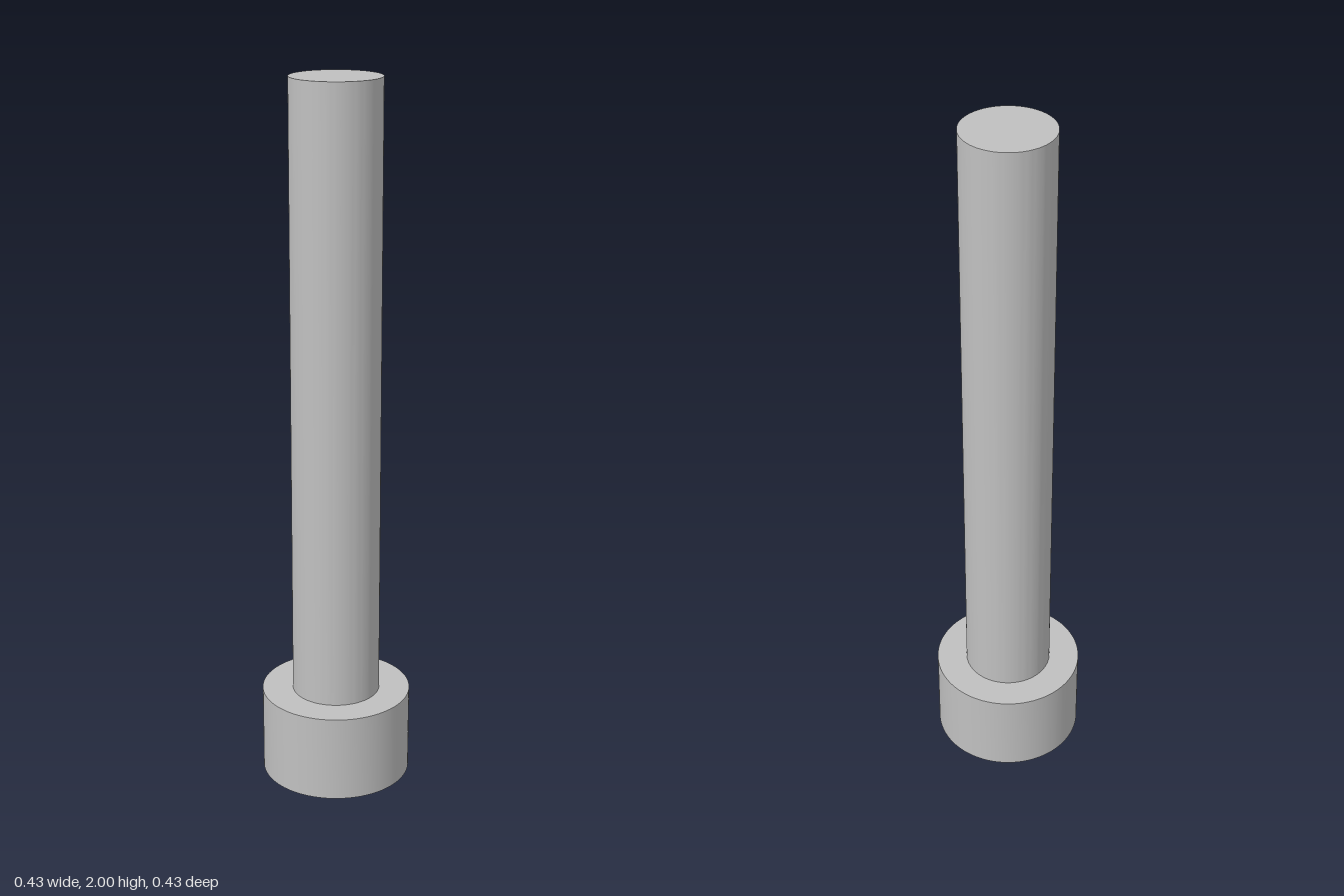
import * as THREE from 'three';
import { toCreasedNormals } from 'three/addons/utils/BufferGeometryUtils.js';

const HEAD_R = 0.2125, HEAD_H = 0.25, SHAFT_R = 0.125, LENGTH = 2;
const SOCKET_R = 0.2 / Math.sqrt(3), SOCKET_DEPTH = 0.125;
const SIDES = 96;

export function createModel() {
  const steel = new THREE.MeshStandardMaterial({ color: 0xc0c0c0 });
  steel.name = 'steel';
  const group = new THREE.Group();
  group.name = 'socketHeadBolt';

  const add = (name, geometry) => {
    const mesh = new THREE.Mesh(geometry, steel);
    mesh.name = name;
    group.add(mesh);
  };
  const lathe = (points) => toCreasedNormals(
    new THREE.LatheGeometry(points.map(([r, y]) => new THREE.Vector2(r, y)), SIDES), Math.PI / 6);

  // Shaft with its flat end
  add('shaft', lathe([[SHAFT_R, HEAD_H], [SHAFT_R, LENGTH], [0, LENGTH]]));

  // Head: outer wall and shoulder
  add('head', lathe([[HEAD_R, 0], [HEAD_R, HEAD_H], [SHAFT_R, HEAD_H]]));

  // Underside of the head, with a hexagonal opening
  const hexagon = Array.from({ length: 6 }, (_, i) => {
    const a = i * Math.PI / 3;
    return new THREE.Vector2(SOCKET_R * Math.cos(a), SOCKET_R * Math.sin(a));
  });
  const face = new THREE.Shape().absarc(0, 0, HEAD_R, 0, Math.PI * 2);
  face.holes.push(new THREE.Path(hexagon));
  add('headFace', new THREE.ShapeGeometry(face, SIDES / 2).rotateX(Math.PI / 2));

  // Socket walls: a six-sided tube mirrored so that it faces inward
  const walls = new THREE.CylinderGeometry(SOCKET_R, SOCKET_R, SOCKET_DEPTH, 6, 1, true)
    .rotateY(Math.PI / 6)
    .translate(0, SOCKET_DEPTH / 2, 0)
    .scale(-1, 1, 1)
    .toNonIndexed();
  walls.computeVertexNormals();
  add('socketWalls', walls);

  // Socket floor, facing down
  add('socketFloor', new THREE.CircleGeometry(SOCKET_R, 6)
    .rotateX(Math.PI / 2)
    .translate(0, SOCKET_DEPTH, 0));

  return group;
}
